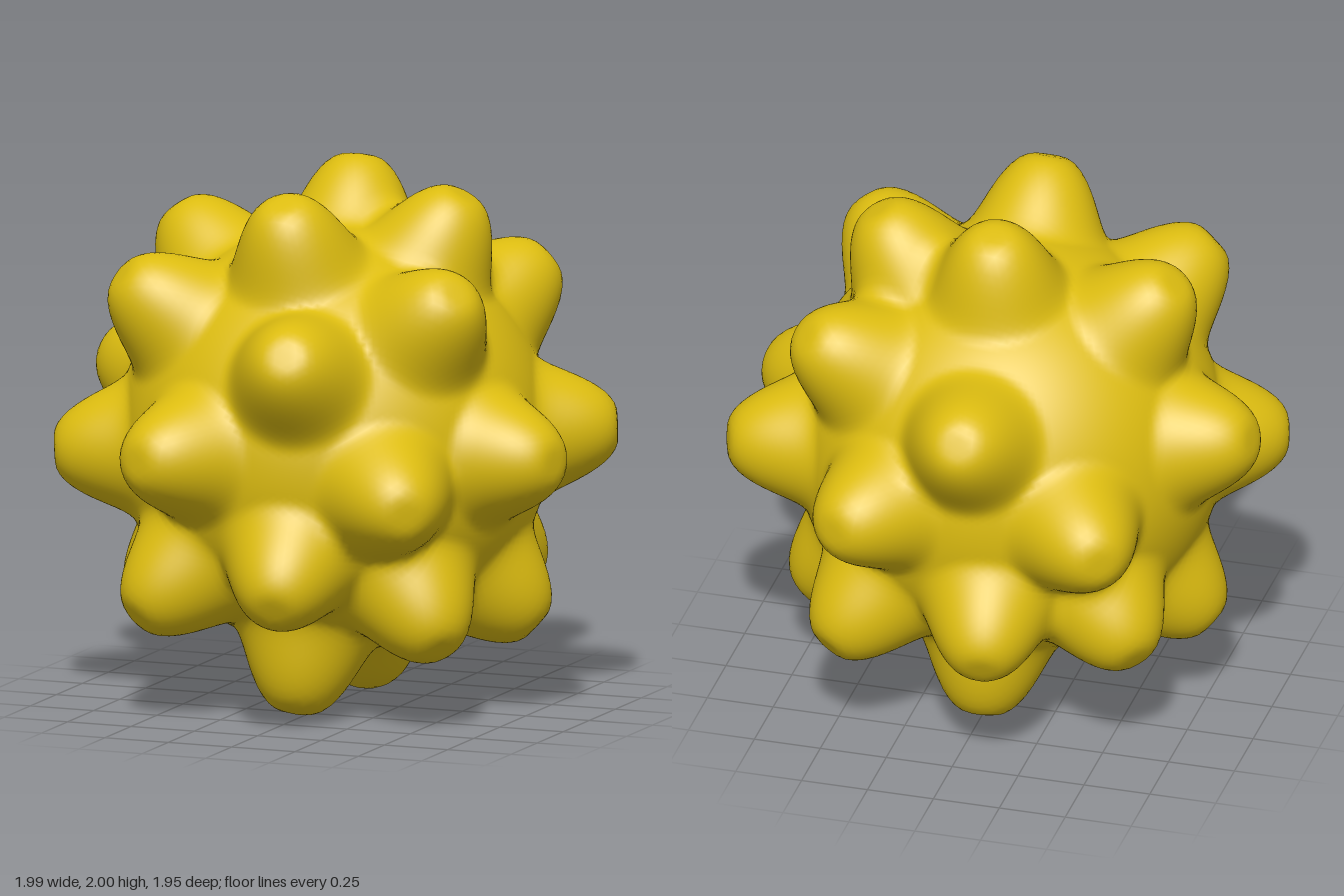
import * as THREE from 'three';
import { mergeVertices } from 'three/addons/utils/BufferGeometryUtils.js';

const BODY = 0.79;  // radius between knobs
const TIP = 1.035;  // usual radius at knob tips

// Directions of the knobs from the ball's centre, with a tip radius where it differs
const KNOBS = [
  // facing front
  [0.17, 0.44, 0.89], [-0.38, 0.03, 0.93], [0.61, -0.12, 0.81], [0.12, -0.48, 0.87],
  [-0.48, -0.57, 0.65], [0.58, -0.63, 0.46], [-0.6, 0.61, 0.49], [0.62, 0.6, 0.42],
  // top
  [-0.02, 0.91, 0.44], [-0.02, 0.96, -0.28], [0.47, 0.9, -0.08], [-0.65, 0.78, -0.1],
  // sides
  [0.97, 0.01, 0.28, 1.025], [0.93, 0.04, -0.37], [-0.93, -0.05, 0.38, 1.025], [-0.96, 0.22, -0.18, 1.015],
  [0.73, -0.66, -0.12, 1.015], [-0.74, -0.63, -0.01, 1.015],
  // back
  [0.6, 0.6, -0.54], [-0.06, 0.44, -0.9], [-0.57, 0, -0.83], [0.39, 0.04, -0.92],
  [-0.14, -0.46, -0.87], [-0.63, -0.52, -0.57, 1.015], [0.47, -0.56, -0.67],
  // bottom
  [0, -0.94, 0.37], [0, -0.94, -0.36],
].map(([x, y, z, tip = TIP]) => ({ dir: new THREE.Vector3(x, y, z).normalize(), tip }));

export function createModel() {
  const group = new THREE.Group();
  const yellow = new THREE.MeshStandardMaterial({ color: 0xdcbc10 });
  yellow.name = 'mustardYellow';

  // Fine sphere, pushed outwards around every knob direction
  let geometry = new THREE.IcosahedronGeometry(1, 40);
  geometry.deleteAttribute('normal');
  geometry.deleteAttribute('uv');
  geometry = mergeVertices(geometry, 1e-5);

  const pos = geometry.attributes.position;
  const v = new THREE.Vector3();
  for (let i = 0; i < pos.count; i++) {
    v.fromBufferAttribute(pos, i).normalize();
    let room = 1; // share of the height left, so neighbouring knobs blend
    for (const { dir, tip } of KNOBS) {
      const rise = 1 - THREE.MathUtils.smoothstep(v.angleTo(dir), 0.05, 0.365);
      room *= 1 - rise * (tip - BODY) / (TIP - BODY);
    }
    v.multiplyScalar(TIP - (TIP - BODY) * room);
    pos.setXYZ(i, v.x, v.y, v.z);
  }

  // Centre it and stand it on the ground
  geometry.center();
  geometry.computeBoundingBox();
  geometry.translate(0, -geometry.boundingBox.min.y, 0);
  geometry.computeVertexNormals();

  const ball = new THREE.Mesh(geometry, yellow);
  ball.name = 'knobbyBall';
  group.add(ball);
  return group;
}
